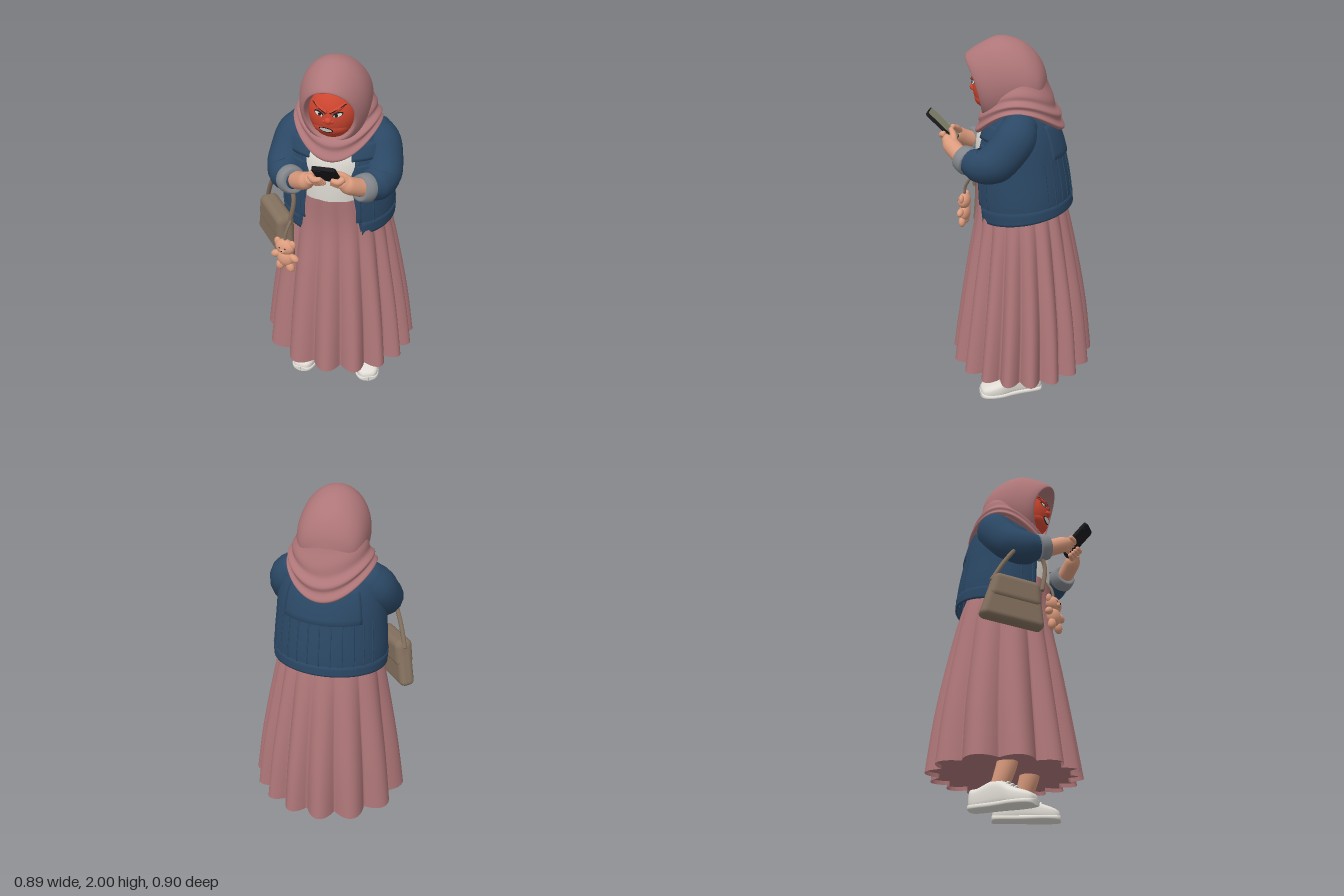
import * as THREE from 'three';
import { RoundedBoxGeometry } from 'three/addons/geometries/RoundedBoxGeometry.js';

const V = (x, y, z) => new THREE.Vector3(x, y, z);
const mat = (name, color, side = THREE.FrontSide) => {
  const m = new THREE.MeshStandardMaterial({ color, side });
  m.name = name;
  return m;
};

// Smooth interpolation through rows of numbers, v from 0 to 1
function sample(rows, v) {
  const n = rows.length - 1, i = Math.min(Math.floor(v * n), n - 1), f = v * n - i;
  const at = k => rows[Math.max(0, Math.min(n, k))];
  return rows[0].map((_, c) => {
    const [a, b, d, e] = [at(i - 1)[c], at(i)[c], at(i + 1)[c], at(i + 2)[c]];
    return b + 0.5 * f * (d - a + f * (2 * a - 5 * b + 4 * d - e + f * (3 * (b - d) + e - a)));
  });
}

// Surface through a grid of points fn(u, v); closed joins u = 1 to u = 0
function loft(fn, nu, nv, closed = true) {
  const pos = [], idx = [], w = closed ? nu : nu + 1;
  for (let i = 0; i <= nv; i++) for (let j = 0; j < w; j++) pos.push(...fn(j / nu, i / nv).toArray());
  for (let i = 0; i < nv; i++) for (let j = 0; j < nu; j++) {
    const a = i * w + j, b = i * w + (j + 1) % w;
    idx.push(a, b, b + w, a, b + w, a + w);
  }
  const g = new THREE.BufferGeometry();
  g.setAttribute('position', new THREE.Float32BufferAttribute(pos, 3));
  g.setIndex(idx);
  g.computeVertexNormals();
  return g;
}

// Tube through rows [x, y, z, radius] with rounded ends
function limb(rows, nv = 20, nu = 16) {
  const curve = new THREE.CatmullRomCurve3(rows.map(r => V(r[0], r[1], r[2])));
  const { tangents, normals, binormals } = curve.computeFrenetFrames(nv, false);
  return loft((u, v) => {
    const k = Math.round(v * (nv + 6)) - 3, i = Math.max(0, Math.min(nv, k));
    const r = sample(rows, i / nv)[3], a = u * Math.PI * 2;
    const over = (k - i) / 3, rr = r * Math.sqrt(Math.max(0, 1 - over * over));
    return curve.getPoint(i / nv).addScaledVector(normals[i], rr * Math.cos(a))
      .addScaledVector(binormals[i], rr * Math.sin(a)).addScaledVector(tangents[i], over * r * 0.7);
  }, nu, nv + 6);
}

// Point on an upright oval ring
const oval = (t, y, rx, zF, zB, off = 0) =>
  V((rx + off) * Math.sin(t), y, (zF + zB) / 2 + ((zF - zB) / 2 + off) * Math.cos(t));

export function createModel() {
  const model = new THREE.Group();
  model.name = 'standingWoman';
  const rose = mat('roseCloth', 0xae7678, THREE.DoubleSide), denim = mat('denim', 0x2b4865, THREE.DoubleSide);
  const white = mat('offWhite', 0xe0dcd5), skin = mat('skin', 0xdc9c7e), red = mat('angryRed', 0xcf4630);
  const tan = mat('bagLeather', 0x83705e), black = mat('black', 0x1b1b1f), screenMat = mat('screen', 0x84866e);
  const grey = mat('cuffGrey', 0x83878c);
  const add = (name, geo, material, parent = model) => {
    const m = new THREE.Mesh(geo, material);
    m.name = name;
    parent.add(m);
    return m;
  };
  const ball = (name, material, p, s, parent = model) => {
    const m = add(name, new THREE.SphereGeometry(1, 32, 24), material, parent);
    m.position.set(...p);
    m.scale.set(...s);
    return m;
  };
  const TAU = Math.PI * 2;

  // Pleated skirt, wider pleats on its right: y, half width, front, back, pleat depth
  const skirtRows = [[0.207, 0.442, 0.35, -0.45, 0.07], [0.5, 0.4, 0.305, -0.415, 0.052],
    [0.8, 0.345, 0.255, -0.36, 0.035], [1.08, 0.285, 0.205, -0.295, 0.016], [1.275, 0.22, 0.205, -0.23, 0.005]];
  const skirtPoint = (u, v) => {
    const t = u * TAU, [y, rx, zF, zB, d] = sample(skirtRows, v);
    const lobe = Math.abs(Math.sin(7.5 * (t - 0.27 * Math.cos(t)) + 0.6));
    const p = oval(t, y, rx, zF, zB, -d * (1 - lobe ** 0.95));
    p.x += 0.008 * (1 - v);
    return p;
  };
  add('skirt', loft(skirtPoint, 300, 20), rose);
  add('skirtUnderside', loft((u, v) => V(0, 0.245, -0.05).lerp(skirtPoint(u, 0.03), v), 300, 4), rose);

  // Shirt
  const shirtRows = [[1.22, 0.2, 0.195, -0.2], [1.38, 0.22, 0.203, -0.22], [1.52, 0.21, 0.185, -0.2], [1.62, 0.14, 0.11, -0.13]];
  add('shirt', loft((u, v) => oval(u * TAU, ...sample(shirtRows, v)), 48, 14), white);

  // Open jacket with panels that follow its surface
  const jacketRows = [[1.09, 0.3, 0.19, -0.315], [1.2, 0.303, 0.2, -0.308], [1.33, 0.292, 0.2, -0.288],
    [1.47, 0.278, 0.185, -0.256], [1.57, 0.25, 0.145, -0.214], [1.64, 0.2, 0.09, -0.15], [1.67, 0.12, 0.05, -0.1]];
  const jacketPoint = (t, v, off = 0) => {
    const [y, rx, zF, zB] = sample(jacketRows, v);
    return oval(t, y - 0.04 * Math.cos(t) * (1 - v) ** 3, rx, zF, zB, off);
  };
  const opening = v => 0.36 + 0.22 * (1 - v) ** 3;
  add('jacketBody', loft((u, v) => {
    const a = opening(v);
    return jacketPoint(a + u * (TAU - 2 * a), v);
  }, 72, 30, false), denim);
  // Raised panel whose edges fold back to the jacket
  const panel = (name, t0, t1, v0, v1, off, nu = 16, nv = 8) => add(name, loft((u, v) => {
    const edge = u === 0 || u === 1 || v === 0 || v === 1;
    const k = (x, n) => Math.max(0, Math.min(1, (x * n - 1) / (n - 2)));
    return jacketPoint(t0 + (t1 - t0) * k(u, nu), v0 + (v1 - v0) * k(v, nv), edge ? -0.003 : off);
  }, nu, nv, false), denim);
  panel('hemBand', 0.58, TAU - 0.58, 0, 0.11, 0.006, 64, 6);
  panel('backFlap', Math.PI - 0.75, Math.PI + 0.75, 0.42, 0.68, 0.01, 28, 10);
  for (let i = -5; i <= 5; i++) panel('backSeam', Math.PI + i * 0.2 - 0.01, Math.PI + i * 0.2 + 0.01, 0.11, 0.42, 0.0035, 4, 16);
  for (const s of [1, -1]) {
    const side = (name, a, b, ...rest) => s > 0 ? panel(name, a, b, ...rest) : panel(name, TAU - b, TAU - a, ...rest);
    side('collarFlap', 0.4, 1.0, 0.55, 0.68, 0.011);
    side('pocketFlap', 0.5, 0.95, 0.44, 0.51, 0.008);
    side('frontSeam', 0.8, 0.825, 0.11, 0.44, 0.0035, 4, 16);
    side('buttonPlacket', 0.47, 0.56, 0.12, 0.55, 0.004, 5, 16);
  }

  // Arms, cuffs and hands
  const phoneAt = (x, s, n) => [x, 1.54 + 0.7 * s - 0.7 * n, 0.37 + 0.7 * s + 0.7 * n];
  for (const s of [1, -1]) {
    const name = s > 0 ? 'left' : 'right';
    const arm = new THREE.Group();
    arm.name = name + 'Arm';
    model.add(arm);
    const tube = (part, rows, m, shift = 0, n = 20) =>
      add(name + part, limb(rows.map(r => [s * r[0] + shift, r[1], r[2], r[3]]), n), m, arm);
    tube('Sleeve', [[0.178, 1.582, -0.045, 0.093], [0.215, 1.53, -0.025, 0.108], [0.24, 1.45, 0.03, 0.107],
      [0.25, 1.39, 0.105, 0.1], [0.225, 1.39, 0.175, 0.086], [0.203, 1.4, 0.21, 0.068]], denim, 0, 30);
    const cuff = add(name + 'Cuff', new THREE.LatheGeometry([[0.042, 0.03], [0.058, 0.034], [0.067, 0.028], [0.073, 0],
      [0.074, -0.025], [0.066, -0.035], [0.04, -0.03]].reverse().map(p => new THREE.Vector2(...p)), 32), grey, arm);
    cuff.position.set(s * 0.184, 1.402, 0.234);
    cuff.quaternion.setFromUnitVectors(V(0, 1, 0), V(-s * 0.6, 0.25, 0.72).normalize());
    const dx = 0.024;
    tube('Palm', [[0.17, 1.41, 0.245, 0.046], [0.135, 1.435, 0.285, 0.045], [0.1, 1.462, 0.32, 0.043],
      [0.08, 1.483, 0.337, 0.03]], skin, dx * 0.7);
    for (let f = 0; f < 4; f++) {
      const q = -0.088 + f * 0.02;
      tube('Finger', [[...phoneAt(0.08, q, 0.01), 0.016], [...phoneAt(0.06, q, 0.026), 0.016],
        [...phoneAt(0.018 + 0.004 * f, q, 0.022), 0.012]], skin, dx, 8);
    }
    tube('Thumb', [[0.112, 1.465, 0.3, 0.022], [0.075, 1.5, 0.305, 0.018], [...phoneAt(0.028, -0.045, -0.022), 0.013]], skin, dx, 10);
  }

  // Phone with its screen turned to the face
  const phone = new THREE.Group();
  phone.name = 'phone';
  const slab = (w, h, r, depth) => {
    const k = new THREE.Shape(), x = w / 2 - r, y = h / 2 - r;
    [[x, y, 0], [-x, y, 1], [-x, -y, 2], [x, -y, 3]].forEach(([cx, cy, q]) =>
      k.absarc(cx, cy, r, q * Math.PI / 2, (q + 1) * Math.PI / 2));
    return new THREE.ExtrudeGeometry(k, { depth, bevelEnabled: false, curveSegments: 6 }).translate(0, 0, -depth / 2);
  };
  add('phoneCase', slab(0.112, 0.208, 0.018, 0.018), black, phone);
  add('phoneScreen', slab(0.102, 0.198, 0.014, 0.004), screenMat, phone).position.z = -0.009;
  add('phoneCamera', slab(0.035, 0.035, 0.008, 0.006), black, phone).position.set(-0.03, 0.075, 0.01);
  phone.position.set(0.027, 1.54, 0.37);
  phone.rotation.x = Math.PI / 4;
  model.add(phone);

  // Headscarf hood: top z, top y, bottom z, bottom y, half width, from the rim to the back
  const hoodRows = [[0.16, 1.88, 0.1, 1.635, 0.1], [0.23, 1.893, 0.15, 1.617, 0.117], [0.246, 1.906, 0.16, 1.6, 0.13],
    [0.19, 1.95, 0.13, 1.57, 0.155], [0.08, 2.0, 0.08, 1.56, 0.174], [-0.03, 1.98, 0, 1.58, 0.175],
    [-0.11, 1.92, -0.08, 1.6, 0.16], [-0.158, 1.84, -0.14, 1.65, 0.115], [-0.178, 1.74, -0.178, 1.74, 0]];
  add('scarfHood', loft((u, v) => {
    const [zt, yt, zb, yb, w] = sample(hoodRows, v), c = Math.cos(u * TAU), k = (1 + c) / 2;
    const bow = 0.045 * (1 - c * c) * (1 - v) ** 2;
    return V(w * Math.sin(u * TAU), yb + (yt - yb) * k, zb + (zt - zb) * k - bow);
  }, 56, 40), rose);

  // Scarf folds around the shoulders: y, half width, front, back, dip
  const drapeRows = [[1.645, 0.18, 0.14, -0.19, 0.112], [1.65, 0.218, 0.192, -0.255, 0.125], [1.685, 0.215, 0.185, -0.25, 0.098],
    [1.73, 0.195, 0.145, -0.218, 0.07], [1.8, 0.165, 0.08, -0.172, 0.02]];
  add('scarfDrape', loft((u, v) => {
    const t = u * TAU, [y, rx, zF, zB, dip] = sample(drapeRows, v), c = Math.cos(t);
    const fold = 0.007 * Math.sin(v * 24 + 1.2 * Math.sin(t)) * Math.min(1, 4 * v, 3 * (1 - v));
    return oval(t, y - dip * c * c * (c > 0 ? 1.2 : 1), rx, zF, zB, fold);
  }, 64, 48), rose);

  // Face
  const head = new THREE.Group();
  head.name = 'head';
  model.add(head);
  const faceZ = (x, y) => 0.088 + 0.124 * Math.sqrt(Math.max(0, 1 - (x / 0.124) ** 2 - ((y - 1.748) / 0.148) ** 2));
  ball('face', red, [0, 1.748, 0.088], [0.124, 0.148, 0.124], head);
  ball('cheeks', red, [0, 1.69, 0.128], [0.096, 0.058, 0.076], head);
  ball('nose', red, [0, 1.738, 0.207], [0.02, 0.018, 0.02], head);
  // Thin oval that follows the face
  const spot = (name, m, x, y, w, h, tilt, lift) => {
    const g = new THREE.CircleGeometry(1, 24).scale(w, h, 1).rotateZ(tilt).translate(x, y, 0), p = g.attributes.position;
    for (let i = 0; i < p.count; i++) p.setZ(i, faceZ(p.getX(i), p.getY(i)) + lift);
    g.computeVertexNormals();
    add(name, g, m, head);
  };
  for (const s of [1, -1]) {
    ball('nostril', red, [s * 0.018, 1.733, 0.205], [0.011, 0.01, 0.012], head);
    spot('eyelid', black, s * 0.046, 1.772, 0.025, 0.012, s * 0.3, 0.003);
    spot('eyeWhite', white, s * 0.046, 1.77, 0.021, 0.0085, s * 0.3, 0.005);
    spot('iris', black, s * 0.041, 1.77, 0.008, 0.008, 0, 0.007);
    const brow = [[0.012, 1.777], [0.045, 1.794], [0.08, 1.813]];
    add('browRidge', limb(brow.map(([x, y], i) => [s * x, y + 0.004, faceZ(x, y), [0.011, 0.012, 0.006][i]]), 10), red, head);
    add('browHair', limb(brow.map(([x, y], i) => [s * x, y + 0.005, faceZ(x, y) + 0.009, [0.003, 0.004, 0.002][i]]), 10, 8), black, head);
  }
  spot('mouth', black, -0.012, 1.687, 0.036, 0.016, -0.15, 0.008);
  spot('teeth', white, -0.012, 1.688, 0.031, 0.011, -0.15, 0.0095);

  // Legs and shoes
  const shoeRows = [[0.2, 0.002, 0.03], [0.193, 0.04, 0.055], [0.155, 0.063, 0.075], [0.09, 0.069, 0.098], [0.03, 0.06, 0.135],
    [-0.03, 0.054, 0.138], [-0.1, 0.053, 0.112], [-0.145, 0.044, 0.108], [-0.152, 0.002, 0.08]];
  const pow = x => Math.sign(x) * Math.abs(x) ** 0.65;
  const shoeShape = (grow, cap) => loft((u, v) => {
    const [z, w, h] = sample(shoeRows, v), t = u * TAU;
    return V((w + (w > 0.01 ? grow : 0)) * pow(Math.sin(t)), Math.min(cap, h) * (1 + pow(Math.cos(t))) / 2, z * (1 + grow * 3));
  }, 32, 28);
  for (const [name, x, z, turn, lean] of [['left', 0.163, -0.015, 0.33, -0.04], ['right', -0.162, -0.018, -0.14, 0.01]]) {
    const foot = new THREE.Group();
    foot.name = name + 'Foot';
    foot.position.set(x, 0.005, z);
    foot.rotation.y = turn;
    model.add(foot);
    add(name + 'Shoe', shoeShape(0, 1), white, foot);
    add(name + 'Sole', shoeShape(0.006, 0.032), white, foot);
    for (let i = 0; i < 4; i++) {
      const lz = 0.1 - i * 0.022, y = 0.1 + i * 0.013;
      add('shoelace', limb([[-0.036, y - 0.014, lz, 0.005], [0, y + 0.003, lz, 0.005], [0.036, y - 0.014, lz, 0.005]], 8, 8), white, foot);
    }
    add(name + 'Leg', limb([[0, 0.08, -0.015, 0.042], [lean / 2, 0.16, 0.02, 0.049], [lean, 0.25, 0.045, 0.054], [lean, 0.4, 0.045, 0.058]]), skin, foot);
  }

  // Shoulder bag
  const bag = new THREE.Group();
  bag.name = 'bag';
  bag.position.set(-0.312, 1.03, 0.112);
  bag.rotation.set(0, -0.88, -0.1);
  model.add(bag);
  const taper = (g, k) => {
    const p = g.attributes.position;
    for (let i = 0; i < p.count; i++) p.setX(i, p.getX(i) * (1 - k * p.getY(i)));
    g.computeVertexNormals();
    return g;
  };
  add('bagBody', taper(new RoundedBoxGeometry(0.3, 0.255, 0.085, 5, 0.03), 1.4), tan, bag);
  add('bagFlap', taper(new RoundedBoxGeometry(0.275, 0.15, 0.1, 5, 0.035), 1.2), tan, bag).position.y = 0.057;
  add('bagStrap', limb([[-0.385, 1.14, 0.02, 0.012], [-0.345, 1.26, 0.075, 0.012], [-0.295, 1.36, 0.13, 0.012],
    [-0.245, 1.41, 0.17, 0.012], [-0.2, 1.37, 0.21, 0.012], [-0.175, 1.29, 0.24, 0.012], [-0.205, 1.13, 0.235, 0.012]], 40, 10), tan);

  // Toy bear charm
  const bear = new THREE.Group();
  bear.name = 'bearCharm';
  bear.position.set(-0.215, 0.985, 0.297);
  bear.rotation.y = -0.25;
  model.add(bear);
  add('charmCord', limb([[0, 0.08, 0, 0.008], [0.005, 0.13, -0.01, 0.008], [0.015, 0.18, -0.04, 0.008]], 8, 8), tan, bear);
  ball('bearHead', skin, [0, 0.04, 0], [0.055, 0.045, 0.034], bear);
  ball('bearMuzzle', skin, [0, 0.03, 0.028], [0.018, 0.014, 0.014], bear);
  ball('bearNose', black, [0, 0.035, 0.041], [0.005, 0.004, 0.003], bear);
  ball('bearBody', skin, [0, -0.03, 0], [0.048, 0.052, 0.032], bear);
  for (const s of [1, -1]) {
    ball('bearEar', skin, [s * 0.043, 0.062, 0], [0.02, 0.026, 0.014], bear);
    ball('bearEye', black, [s * 0.016, 0.048, 0.031], [0.004, 0.004, 0.003], bear);
    ball('bearArm', skin, [s * 0.056, -0.016, 0.006], [0.028, 0.02, 0.018], bear).rotation.z = -s * 0.5;
    ball('bearLeg', skin, [s * 0.03, -0.08, 0.006], [0.024, 0.032, 0.02], bear).rotation.z = s * 0.25;
  }
  return model;
}
